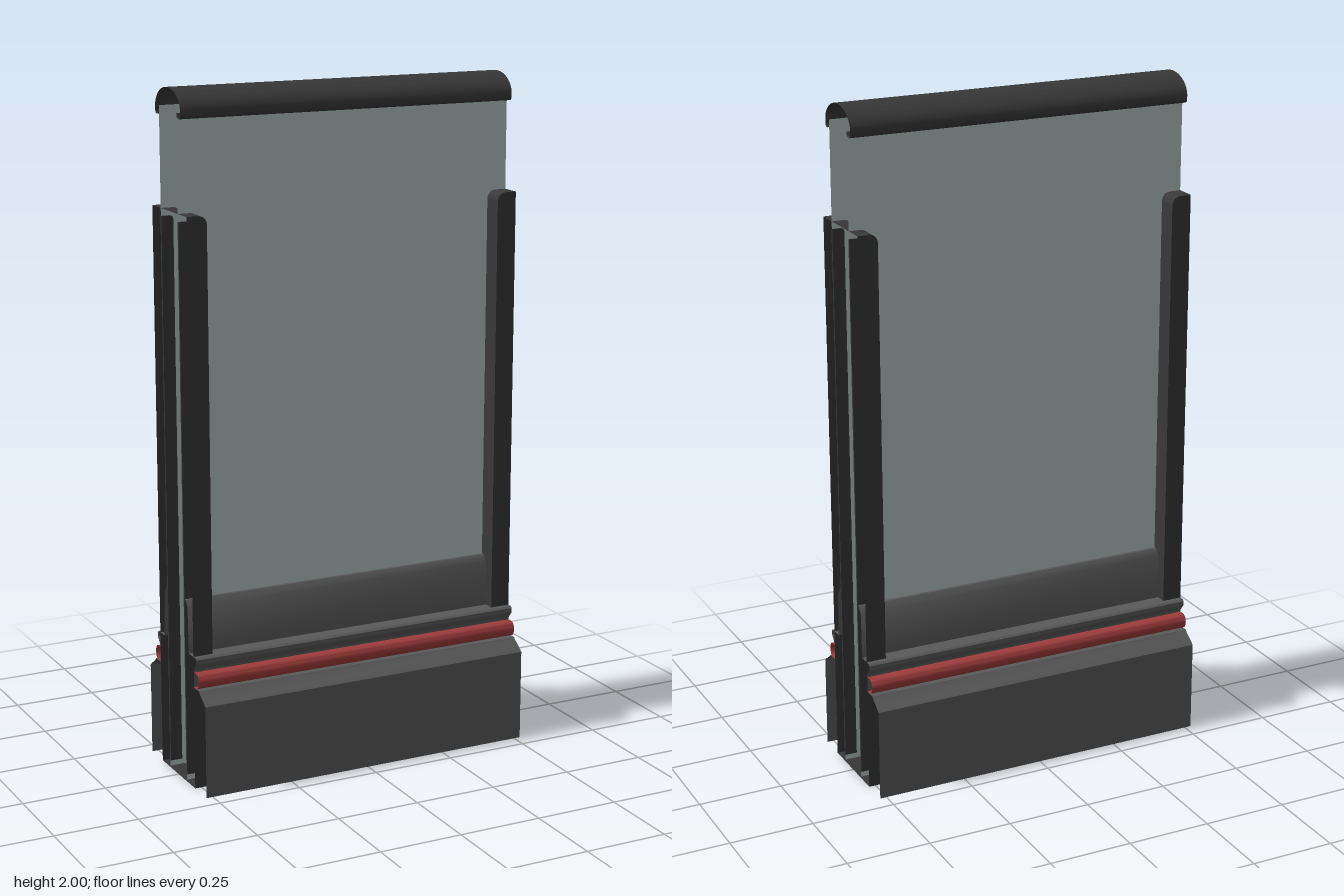
import * as THREE from 'three';
import { toCreasedNormals } from 'three/addons/utils/BufferGeometryUtils.js';

const HALF = 0.52; // half length along x

const paint = (color) => new THREE.MeshStandardMaterial({ color, side: THREE.DoubleSide });

// Thin open sheet: profile points [z, y] drawn out along x
function sheet(profile, length) {
  const geo = new THREE.PlaneGeometry(length, 1, 1, profile.length - 1);
  const pos = geo.attributes.position;
  for (let i = 0; i < pos.count; i++) {
    const [z, y] = profile[Math.floor(i / 2)];
    pos.setXYZ(i, pos.getX(i), y, z);
  }
  return toCreasedNormals(geo, 0.6);
}

// Points of an elliptical arc [z, y]
function arc(cz, cy, rz, ry, from, to, n) {
  return Array.from({ length: n + 1 }, (_, i) => {
    const a = from + ((to - from) * i) / n;
    return [cz + rz * Math.cos(a), cy + ry * Math.sin(a)];
  });
}

function add(parent, name, geo, mat) {
  const mesh = new THREE.Mesh(geo, mat);
  mesh.name = name;
  parent.add(mesh);
  return mesh;
}

export function createModel() {
  const model = new THREE.Group();
  model.name = 'glassBalustrade';
  const dark = paint(0x383838);
  const grey = paint(0x5a5a5a);
  const red = paint(0xa03c3c);
  const glass = paint(0xb4c4c2);

  // Handrail: open domed shell with lips curling in under its edges
  const rightHalf = [
    [0.06, 1.935], [0.064, 1.924],
    ...arc(0.076, 1.931, 0.011, 0.011, -Math.PI / 2, 0, 4),
    ...arc(0, 1.94, 0.087, 0.06, 0.1, Math.PI / 2, 12),
  ];
  const leftHalf = rightHalf.slice(0, -1).reverse().map(([z, y]) => [-z, y]);
  add(model, 'handrail', sheet([...rightHalf, ...leftHalf], 2 * HALF), dark);

  // Front and back sides are the same, turned half round
  for (const [label, turn] of [['front', 0], ['back', Math.PI]]) {
    const side = new THREE.Group();
    side.name = label + 'Side';
    side.rotation.y = turn;
    model.add(side);

    add(side, 'glassPane', sheet([[0.06, 0.005], [0.06, 1.945]], 2 * HALF), glass);

    // Inner panel against the glass, ledge, strip holder and outer skirt
    const cladding = [
      [0.061, 0.555], [0.07, 0.555], [0.084, 0.535], [0.088, 0.4],
      [0.134, 0.4], [0.14, 0.395], [0.14, 0.382], [0.122, 0.36],
      [0.122, 0.308], [0.157, 0.308], [0.162, 0.302], [0.194, 0.28], [0.2, 0.274], [0.2, 0],
    ];
    add(side, 'skirtCladding', sheet(cladding, 2 * HALF), grey);

    // Rounded bumper strip seated in the holder
    const bumper = [[0.123, 0.354], ...arc(0.14, 0.332, 0.016, 0.022, Math.PI / 2, -Math.PI / 2, 8), [0.123, 0.31]];
    add(side, 'bumperStrip', sheet(bumper, 2 * HALF), red);
  }

  // End posts: hollow channels, open outward, holding the pane edges
  const postOutline = [
    [HALF, 0], [0.46, 0],
    ...arc(0.485, 1.635, 0.025, 0.025, Math.PI, Math.PI / 2, 6),
    [HALF, 1.66],
  ];
  const postFace = new THREE.Shape(postOutline.map(([x, y]) => new THREE.Vector2(x, y)));
  const clipOutline = [
    [HALF, 0.022], [0.484, 0.022],
    ...arc(0.494, 1.628, 0.01, 0.01, Math.PI, Math.PI / 2, 4),
    [HALF, 1.638],
  ];
  const clipFace = new THREE.Shape(clipOutline.map(([x, y]) => new THREE.Vector2(x, y)));

  for (const [label, turn] of [['left', 0], ['right', Math.PI]]) {
    const post = new THREE.Group();
    post.name = label + 'Post';
    post.rotation.y = turn;
    model.add(post);

    const wall = sheet(postOutline, 0.24).rotateY(Math.PI / 2);
    add(post, 'postWall', wall, dark);
    for (const s of [-1, 1]) {
      add(post, 'postCheek', new THREE.ShapeGeometry(postFace), dark).position.z = 0.12 * s;
      const clip = new THREE.ExtrudeGeometry(clipFace, { depth: 0.006, bevelEnabled: false });
      add(post, 'paneEdgeClip', clip, dark).position.z = 0.06 * s - 0.003;
    }
  }

  return model;
}
